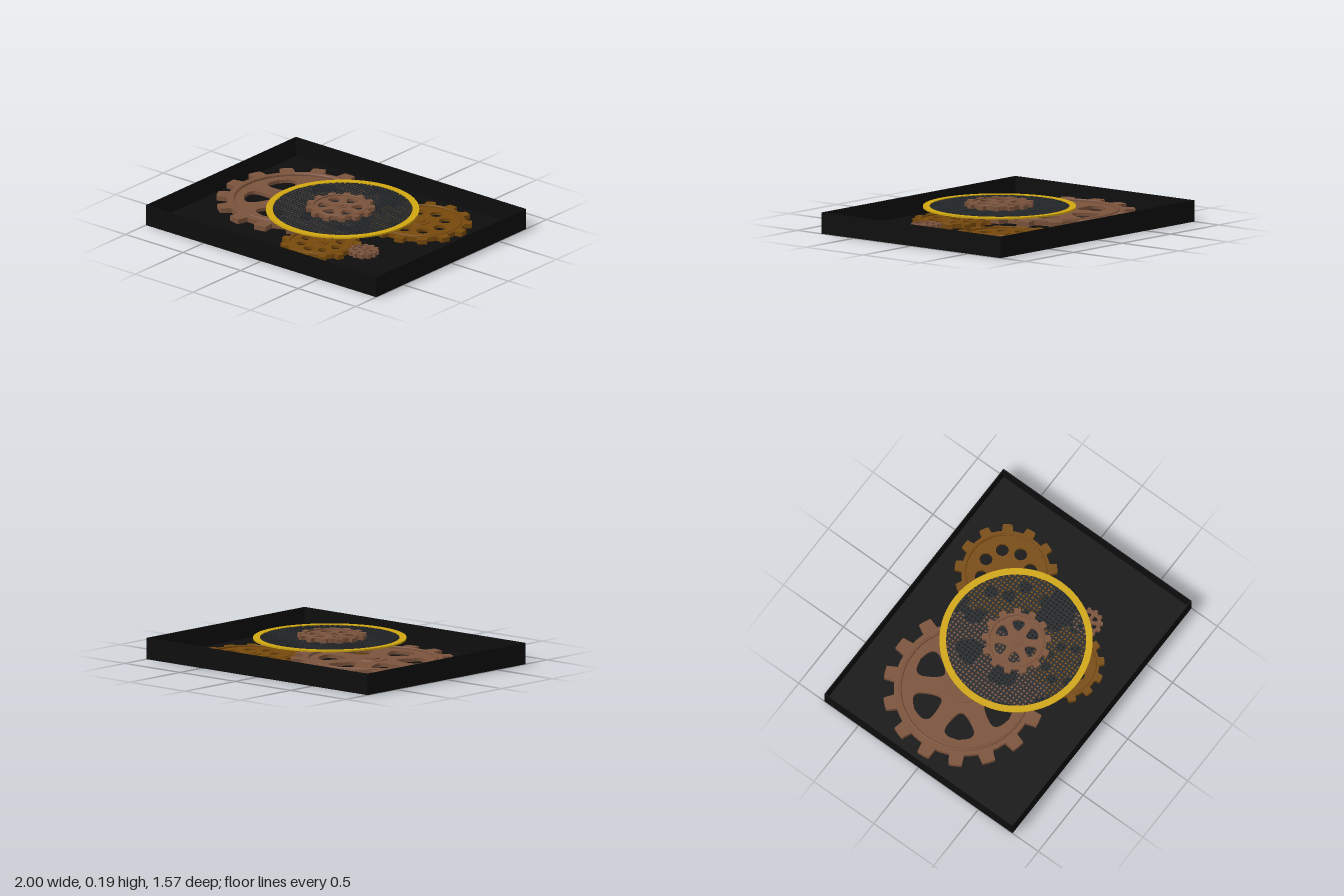
import * as THREE from 'three';
import { mergeGeometries } from 'three/addons/utils/BufferGeometryUtils.js';

const material = (name, color, side = THREE.FrontSide) => {
  const m = new THREE.MeshStandardMaterial({ color, side });
  m.name = name;
  return m;
};

function addMesh(parent, name, geometry, mat, x = 0, y = 0, z = 0) {
  const m = new THREE.Mesh(geometry, mat);
  m.name = name;
  m.position.set(x, y, z);
  parent.add(m);
  return m;
}

// Extrude a shape upwards so that it lies flat in the xz plane
function slab(shape, depth) {
  return new THREE.ExtrudeGeometry(shape, { depth, bevelEnabled: false, curveSegments: 32 }).rotateX(-Math.PI / 2);
}

function circlePath(radius, x = 0, y = 0) {
  return new THREE.Path().absarc(x, y, radius, 0, Math.PI * 2, true);
}

// Outline with trapezoid teeth, first tooth pointing to the back
function toothedShape(r, teeth) {
  const root = r * 0.865, pitch = Math.PI * 2 / teeth, pts = [];
  const profile = [[-0.5, root], [-0.38, root], [-0.26, root], [-0.19, r], [0, r], [0.19, r], [0.26, root], [0.38, root]];
  for (let i = 0; i < teeth; i++) {
    for (const [f, rad] of profile) {
      const a = Math.PI / 2 + (i + f) * pitch;
      pts.push(new THREE.Vector2(Math.cos(a) * rad, Math.sin(a) * rad));
    }
  }
  return new THREE.Shape(pts);
}

// Rounded wedge opening between two spokes
function wedgePath(r, angle) {
  const outline = [[0, 0.67], [-0.14, 0.63], [-0.18, 0.54], [-0.09, 0.38], [0, 0.31], [0.09, 0.38], [0.18, 0.54], [0.14, 0.63], [0, 0.67]];
  const pts = outline.map(([x, y]) => new THREE.Vector2(x * r, y * r).rotateAround(new THREE.Vector2(), angle));
  return new THREE.Path(new THREE.SplineCurve(pts).getPoints(32));
}

function makeGear({ name, x, z, y, h, r, teeth, round, mat, floor }) {
  const g = new THREE.Group();
  g.name = name;
  g.position.set(x, y, z);

  // Toothed rim
  const rim = toothedShape(r, teeth);
  rim.holes.push(circlePath(r * 0.77));
  addMesh(g, 'toothedRim', slab(rim, h), mat);

  // Recessed web with openings
  const web = new THREE.Shape().absarc(0, 0, r * 0.78, 0, Math.PI * 2, false);
  const count = round ? 8 : 6;
  for (let i = 0; i < count; i++) {
    const a = i * Math.PI * 2 / count;
    web.holes.push(round
      ? circlePath(r * 0.125, -Math.sin(a) * r * 0.48, Math.cos(a) * r * 0.48)
      : wedgePath(r, a));
  }
  addMesh(g, 'web', slab(web, h * 0.7), mat, 0, h * 0.1, 0);

  // Raised bead, hub and axle
  const bead = new THREE.TorusGeometry(r * 0.79, r * 0.018, 8, 64).rotateX(Math.PI / 2);
  addMesh(g, 'bead', bead, mat, 0, h, 0);
  addMesh(g, 'hub', new THREE.CylinderGeometry(r * 0.18, r * 0.21, h, 32), mat, 0, h / 2, 0);
  const top = h + 0.007, bottom = floor - y;
  addMesh(g, 'axle', new THREE.CylinderGeometry(r * 0.1, r * 0.1, top - bottom, 24), mat, 0, (top + bottom) / 2, 0);
  return g;
}

export function createModel() {
  const model = new THREE.Group();
  model.name = 'gearTray';
  const black = material('trayBlack', 0x0d0d0d);
  const copper = material('copper', 0x7a523b);
  const bronze = material('darkGold', 0x77490c);
  const yellow = material('yellowGold', 0xcfa510);
  const wire = material('wireGrey', 0x24272a);

  // Open tray
  const W = 2, D = 1.57, H = 0.145, T = 0.006;
  const tray = new THREE.Group();
  tray.name = 'tray';
  model.add(tray);
  addMesh(tray, 'floor', new THREE.BoxGeometry(W, 0.01, D), black, 0, 0.005, 0);
  for (const s of [-1, 1]) {
    addMesh(tray, 'longWall', new THREE.BoxGeometry(W, H, T), black, 0, H / 2, s * (D - T) / 2);
    addMesh(tray, 'shortWall', new THREE.BoxGeometry(T, H, D - 2 * T), black, s * (W - T) / 2, H / 2, 0);
  }

  // Gears
  const gears = [
    { name: 'largeGear', x: -0.39, z: -0.07, y: 0.048, h: 0.034, r: 0.547, teeth: 15, mat: copper, floor: 0.01 },
    { name: 'backGear', x: 0.445, z: -0.35, y: 0.02, h: 0.032, r: 0.345, teeth: 13, round: true, mat: bronze, floor: 0.01 },
    { name: 'frontGear', x: 0.16, z: 0.35, y: 0.014, h: 0.032, r: 0.27, teeth: 13, round: true, mat: bronze, floor: 0.01 },
    { name: 'smallGear', x: 0.49, z: 0.3, y: 0.03, h: 0.03, r: 0.102, teeth: 12, mat: copper, floor: 0.01 },
    { name: 'topGear', x: 0.06, z: 0.025, y: 0.152, h: 0.029, r: 0.232, teeth: 13, mat: copper, floor: 0.14 },
  ];
  for (const spec of gears) model.add(makeGear(spec));

  // Yellow ring
  const screen = new THREE.Group();
  screen.name = 'screen';
  screen.position.set(0.07, 0.146, 0.015);
  model.add(screen);
  const R = 0.513, inner = 0.468;
  const ring = new THREE.Shape().absarc(0, 0, R, 0, Math.PI * 2, false);
  ring.holes.push(circlePath(inner));
  addMesh(screen, 'ring', slab(ring, 0.011), yellow);

  // Woven wire mesh clipped to the ring
  const pitch = 0.027, bars = [];
  for (let i = -17; i <= 17; i++) {
    const p = i * pitch, len = 2 * Math.sqrt(0.48 ** 2 - p * p);
    bars.push(new THREE.BoxGeometry(len, 0.004, 0.012).translate(0, 0.004, p));
    bars.push(new THREE.BoxGeometry(0.012, 0.004, len).translate(p, 0.0055, 0));
  }
  addMesh(screen, 'wireMesh', mergeGeometries(bars), wire);
  return model;
}
